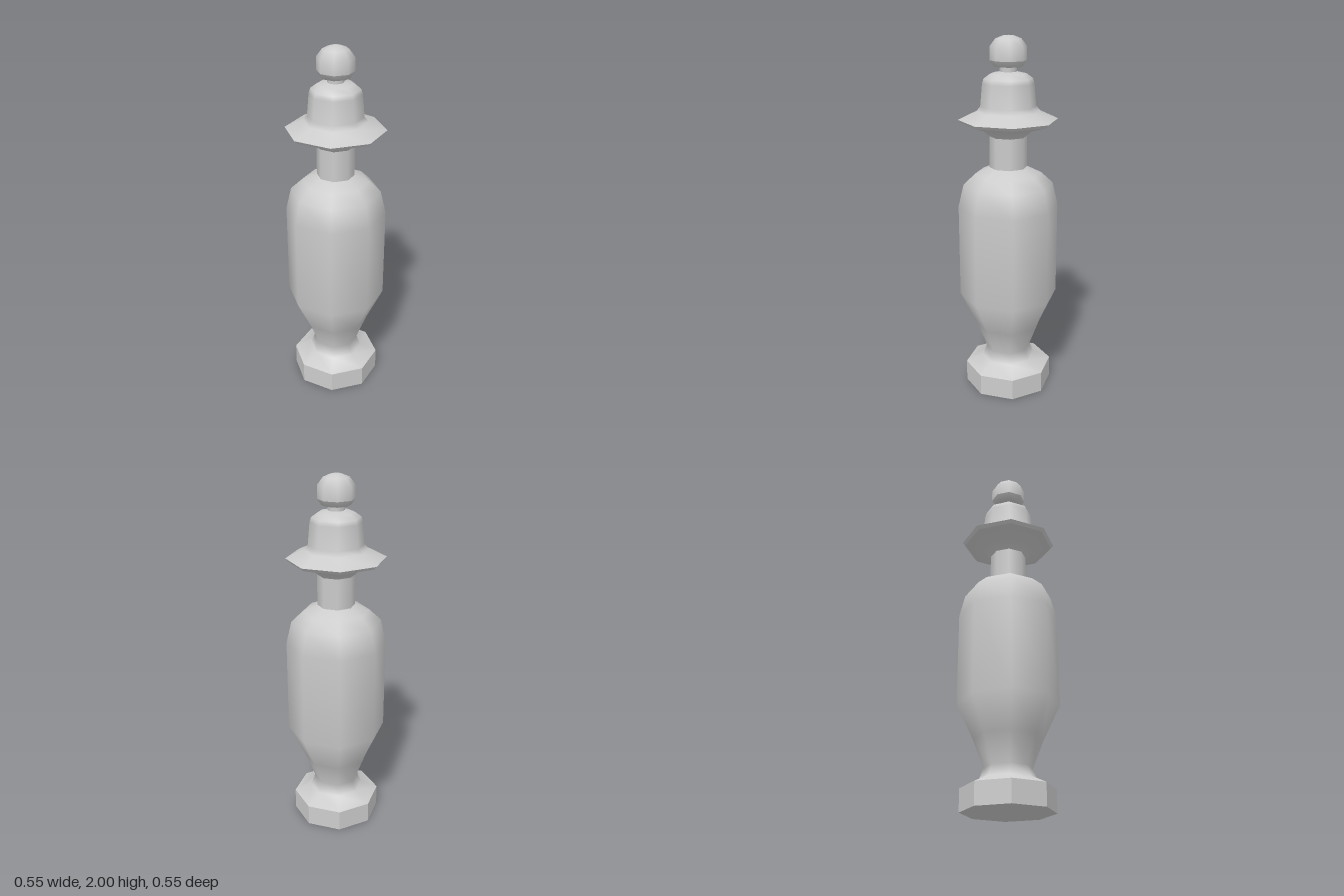
import * as THREE from 'three';

const SIDES = 8;

export function createModel() {
  const group = new THREE.Group();
  const grey = new THREE.MeshStandardMaterial({ color: 0xcccccc });
  grey.name = 'pale grey';

  // Turned part: profile of [radius, height] pairs, from bottom to top
  const turn = (name, profile, flat = false) => {
    const points = profile.map(([r, y]) => new THREE.Vector2(r, y));
    let geometry = new THREE.LatheGeometry(points, SIDES);
    if (flat) {
      geometry = geometry.toNonIndexed();
      geometry.computeVertexNormals();
    }
    const mesh = new THREE.Mesh(geometry, grey);
    mesh.name = name;
    group.add(mesh);
  };

  // Eight-sided foot
  turn('foot', [[0, 0], [0.247, 0], [0.247, 0.12]], true);

  // Flared pedestal and vase-shaped body up to the shoulder
  turn('body', [
    [0.247, 0.12], [0.15, 0.165], [0.127, 0.225], [0.185, 0.375], [0.275, 0.565],
    [0.275, 1.085], [0.245, 1.21], [0.18, 1.27], [0.102, 1.305],
  ]);

  // Neck widening into the underside of the brim
  turn('neck', [[0.102, 1.305], [0.102, 1.475]]);
  turn('brimUnderside', [[0.102, 1.475], [0.15, 1.515], [0.253, 1.548]]);
  turn('brimEdge', [[0.253, 1.548], [0.268, 1.565]]);

  // Cap: sloping brim, crown and rounded top
  turn('cap', [
    [0.268, 1.565], [0.17, 1.61], [0.149, 1.635], [0.138, 1.755],
    [0.13, 1.78], [0.095, 1.805], [0.045, 1.815],
  ]);

  // Finial: short stem and knob
  turn('finialStem', [[0.045, 1.81], [0.045, 1.845]]);
  turn('knobUnderside', [[0.045, 1.842], [0.078, 1.842], [0.098, 1.873]]);
  turn('knob', [[0.098, 1.873], [0.098, 1.942], [0.068, 1.982], [0.03, 1.997], [0, 2]]);

  return group;
}
